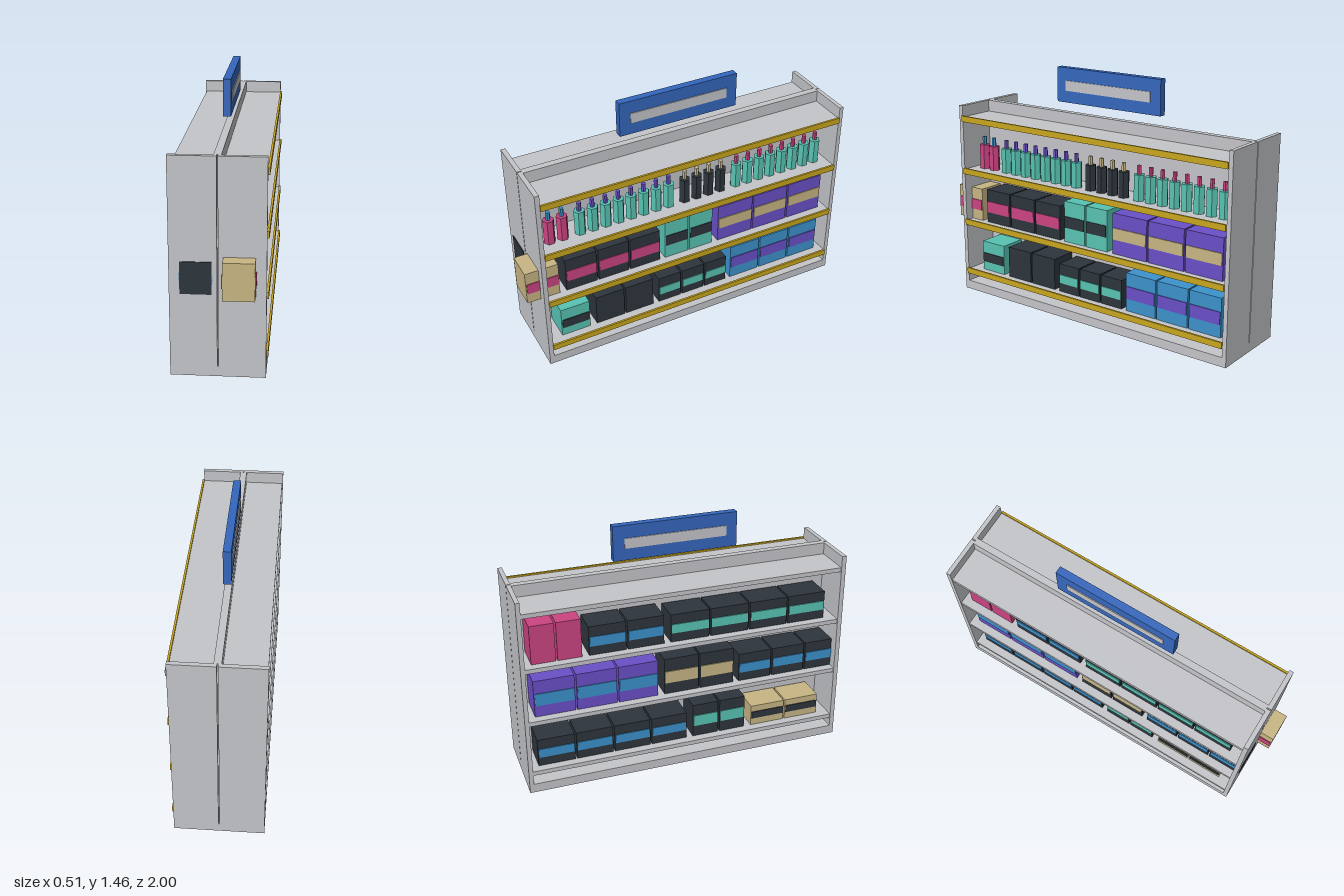
import * as THREE from 'three';

const mat = (name, color) => {
  const m = new THREE.MeshStandardMaterial({ color });
  m.name = name;
  return m;
};

export function createModel() {
  const C = {
    grey: mat('shelf grey', 0xc5c6ca),
    signBlue: mat('sign blue', 0x3567bd),
    gold: mat('rail gold', 0xc9a71f),
    teal: mat('teal', 0x58c4b4),
    dark: mat('charcoal', 0x2d353c),
    pink: mat('pink', 0xcb4482),
    purple: mat('purple', 0x6a50c8),
    sky: mat('sky blue', 0x3c92cc),
    tan: mat('cardboard tan', 0xc8b684),
  };
  const model = new THREE.Group();
  model.name = 'storeShelf';
  const MID = -0.005; // centre plane of the unit in x

  // Box given by its lower and upper limits on each axis
  const box = (name, m, x0, x1, y0, y1, z0, z1, parent = model) => {
    const mesh = new THREE.Mesh(new THREE.BoxGeometry(x1 - x0, y1 - y0, z1 - z0), m);
    mesh.position.set((x0 + x1) / 2, (y0 + y1) / 2, (z0 + z1) / 2);
    mesh.name = name;
    parent.add(mesh);
    return mesh;
  };

  // Frame: base, back wall and split end panels
  box('base', C.grey, -0.255, 0.245, 0, 0.055, -1, 0.92);
  box('backWall', C.grey, MID - 0.02, MID + 0.02, 0.055, 1.19, -0.975, 0.893);
  for (const [z0, z1] of [[-1, -0.975], [0.893, 0.92]]) {
    box('endPanel', C.grey, -0.255, MID - 0.003, 0.055, 1.19, z0, z1);
    box('endPanel', C.grey, MID + 0.003, 0.245, 0.055, 1.19, z0, z1);
  }

  // Shelves, with gold price rails on the +x side only
  const SHELF = [0.135, 0.46, 0.79, 1.12];
  for (const y of SHELF) {
    box('shelf', C.grey, MID + 0.02, 0.243, y - 0.026, y, -0.975, 0.893);
    box('shelf', C.grey, -0.25, MID - 0.02, y - 0.026, y, -0.975, 0.893);
    box('priceRail', C.gold, 0.243, 0.255, y - 0.027, y + 0.009, -0.975, 0.895);
  }

  // Hanging sign with a pale panel on each face
  box('sign', C.signBlue, -0.027, 0.017, 1.25, 1.455, -0.403, 0.327);
  box('signPanel', C.grey, 0.017, 0.022, 1.32, 1.38, -0.337, 0.262);
  box('signPanel', C.grey, -0.032, -0.027, 1.32, 1.38, -0.337, 0.262);

  // Row of equal boxes between two z limits, each with a label front and back
  const boxRow = (side, level, count, zA, zB, top, body, label, l0, l1) => {
    const gap = 0.01;
    const w = (zB - zA - gap * (count - 1)) / count;
    const inner = MID + side * 0.03, outer = MID + side * 0.195;
    const xs = [inner, outer].sort((a, b) => a - b);
    for (let i = 0; i < count; i++) {
      const g = new THREE.Group();
      g.name = 'boxedProduct';
      const z0 = zA + i * (w + gap), z1 = z0 + w;
      box('carton', C[body], xs[0], xs[1], SHELF[level], top, z0, z1, g);
      if (label) {
        box('label', C[label], xs[0] - 0.005, xs[0], l0, l1, z0 + 0.005, z1 - 0.005, g);
        box('label', C[label], xs[1], xs[1] + 0.005, l0, l1, z0 + 0.005, z1 - 0.005, g);
      }
      model.add(g);
    }
  };

  // Boxes on the +x side
  boxRow(1, 0, 1, 0.636, 0.813, 0.323, 'teal', 'dark', 0.19, 0.248);
  boxRow(1, 0, 2, 0.225, 0.594, 0.328, 'dark');
  boxRow(1, 0, 3, -0.273, 0.187, 0.31, 'dark', 'teal', 0.19, 0.243);
  boxRow(1, 0, 3, -0.93, -0.305, 0.365, 'sky', 'purple', 0.21, 0.285);
  boxRow(1, 1, 1, 0.805, 1.0, 0.664, 'tan', 'pink', 0.525, 0.59);
  boxRow(1, 1, 3, 0.178, 0.765, 0.67, 'dark', 'pink', 0.525, 0.595);
  boxRow(1, 1, 2, -0.168, 0.144, 0.707, 'teal', 'dark', 0.547, 0.616);
  boxRow(1, 1, 3, -0.93, -0.208, 0.702, 'purple', 'tan', 0.547, 0.616);

  // Boxes on the -x side
  boxRow(-1, 0, 4, -0.93, -0.035, 0.305, 'dark', 'sky', 0.19, 0.245);
  boxRow(-1, 0, 2, 0.005, 0.335, 0.345, 'dark', 'teal', 0.205, 0.275);
  boxRow(-1, 0, 2, 0.38, 0.82, 0.265, 'tan', 'dark', 0.18, 0.225);
  boxRow(-1, 1, 3, -0.93, -0.21, 0.685, 'purple', 'sky', 0.53, 0.605);
  boxRow(-1, 1, 2, -0.17, 0.255, 0.685, 'dark', 'tan', 0.53, 0.605);
  boxRow(-1, 1, 3, 0.29, 0.925, 0.636, 'dark', 'sky', 0.515, 0.573);
  boxRow(-1, 2, 2, -0.93, -0.645, 1.02, 'pink');
  boxRow(-1, 2, 2, -0.605, -0.17, 0.965, 'dark', 'sky', 0.845, 0.903);
  boxRow(-1, 2, 4, -0.13, 0.825, 0.96, 'dark', 'teal', 0.845, 0.9);

  // Six-sided bottles with caps on the third shelf, +x side
  const bodyGeo = new THREE.CylinderGeometry(0.033, 0.033, 0.15, 6).toNonIndexed();
  const capGeo = new THREE.CylinderGeometry(0.0135, 0.0135, 0.05, 6).toNonIndexed();
  bodyGeo.computeVertexNormals();
  capGeo.computeVertexNormals();
  const bottleRow = (count, zStart, body, cap) => {
    for (let i = 0; i < count; i++) {
      const bottle = new THREE.Group();
      bottle.name = 'bottle';
      const b = new THREE.Mesh(bodyGeo, C[body]);
      b.name = 'bottleBody';
      b.position.y = 0.075;
      const c = new THREE.Mesh(capGeo, C[cap]);
      c.name = 'bottleCap';
      c.position.y = 0.175;
      bottle.add(b, c);
      bottle.position.set(0.135, SHELF[2], zStart - i * 0.078);
      model.add(bottle);
    }
  };
  bottleRow(2, 0.82, 'pink', 'sky');
  bottleRow(8, 0.639, 'teal', 'purple');
  bottleRow(4, -0.011, 'dark', 'tan');
  bottleRow(8, -0.35, 'teal', 'pink');

  return model;
}
